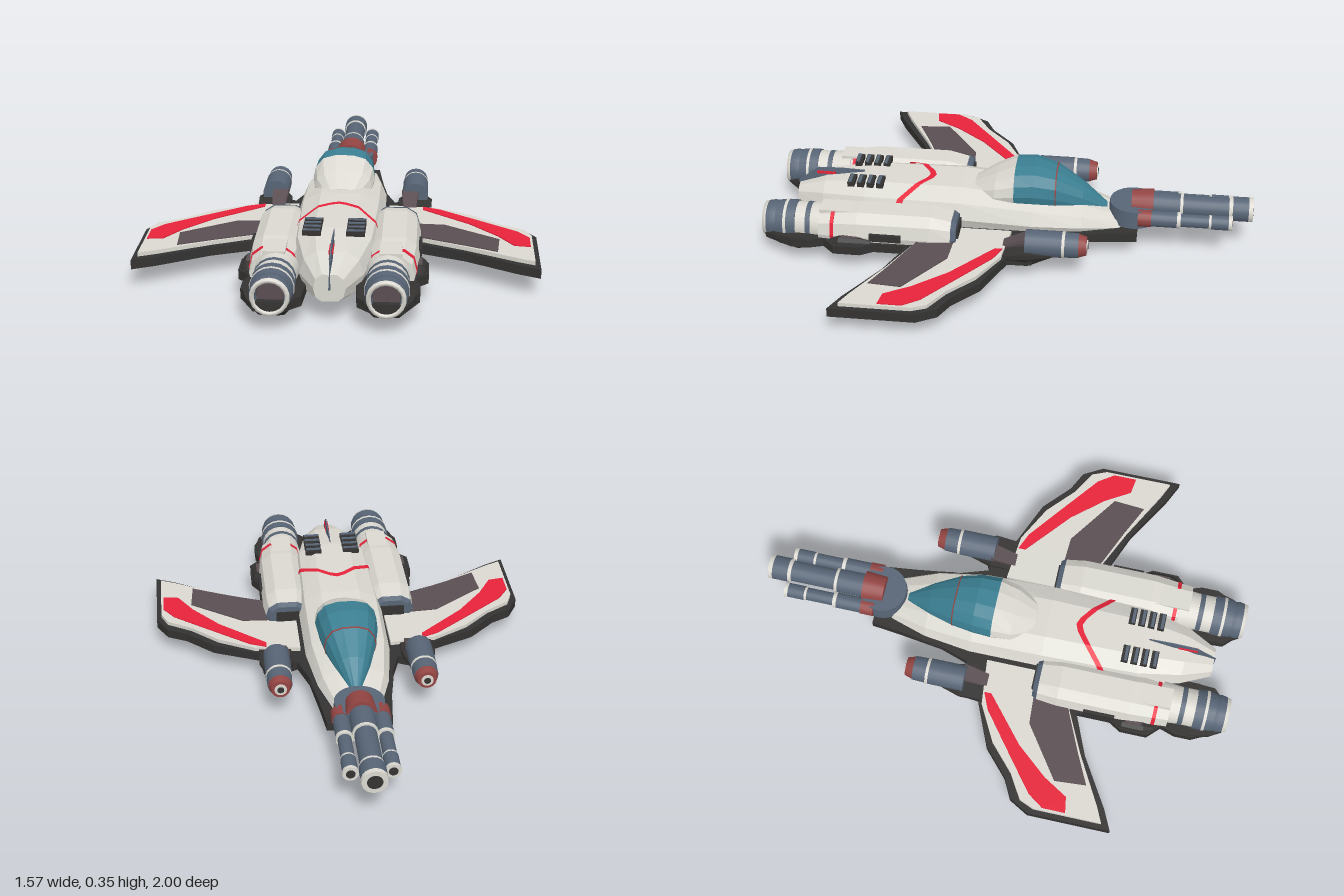
import * as THREE from 'three';

const mat = (name, color, double) => {
  const m = new THREE.MeshStandardMaterial({ color });
  m.name = name;
  if (double) m.side = THREE.DoubleSide;
  return m;
};

export function createModel() {
  const white = mat('hull white', 0xdad8d0), red = mat('stripe red', 0xe8233a, true),
    teal = mat('canopy teal', 0x3b7f92), slate = mat('gunmetal slate', 0x586576),
    coal = mat('charcoal', 0x343332), plum = mat('dull plum', 0x5a4e52), maroon = mat('maroon', 0x934543);
  const root = new THREE.Group();

  const add = (name, geo, m, x = 0, y = 0, z = 0) => {
    const mesh = new THREE.Mesh(geo, m);
    mesh.name = name;
    mesh.position.set(x, y, z);
    root.add(mesh);
  };

  // Faceted hull: half ring of [width, height] fractions swept over [z, halfWidth, top, bottom]
  const loft = (half, sections) => {
    const ring = [...half, ...half.slice().reverse().map(([a, b]) => [-a, b])];
    const rows = sections.map(([z, w, t, b]) => ring.map(([fx, fy]) => [fx * w, b + fy * (t - b), z]));
    const pos = [], n = ring.length, tri = (...p) => p.forEach(v => pos.push(...v));
    for (let i = 0; i < rows.length - 1; i++) for (let j = 0; j < n; j++) {
      const k = (j + 1) % n, a = rows[i], b = rows[i + 1];
      tri(a[j], a[k], b[k]);
      tri(a[j], b[k], b[j]);
    }
    const first = rows[0], last = rows[rows.length - 1];
    for (let j = 1; j < n - 1; j++) {
      tri(first[0], first[j + 1], first[j]);
      tri(last[0], last[j], last[j + 1]);
    }
    const g = new THREE.BufferGeometry();
    g.setAttribute('position', new THREE.Float32BufferAttribute(pos, 3));
    g.computeVertexNormals();
    return g;
  };

  // Flat plate outlined in x, z between two heights
  const plate = (pts, y0, y1) => {
    const g = new THREE.ExtrudeGeometry(new THREE.Shape(pts.map(([x, z]) => new THREE.Vector2(x, -z))),
      { depth: y1 - y0, bevelEnabled: false });
    return g.rotateX(-Math.PI / 2).translate(0, y0, 0);
  };
  const flip = (pts, s) => pts.map(([x, z]) => [x * s, z]);

  // Stack of round segments along z: [material, z0, r0, z1, r1]
  const tube = (name, x, y, segs) => segs.forEach(([m, z0, r0, z1, r1]) =>
    add(name, new THREE.CylinderGeometry(r1, r0, z1 - z0, 18).rotateX(Math.PI / 2), m, x, y, (z0 + z1) / 2));

  // Thin painted ribbon along a path, dz wide
  const ribbon = (pts, dz) => {
    const pos = [];
    for (let i = 0; i < pts.length - 1; i++) {
      const [a, b] = [pts[i], pts[i + 1]];
      const c = [b[0], b[1], b[2] + dz], d = [a[0], a[1], a[2] + dz];
      pos.push(...a, ...c, ...b, ...a, ...d, ...c);
    }
    const g = new THREE.BufferGeometry();
    g.setAttribute('position', new THREE.Float32BufferAttribute(pos, 3));
    g.computeVertexNormals();
    return g;
  };

  const hullRing = [[0.5, 0], [0.85, 0.15], [1, 0.5], [0.86, 0.82], [0.46, 1]];
  const domeRing = [[0.9, 0], [1, 0.35], [0.92, 0.65], [0.68, 0.9], [0.28, 1]];
  const keelRing = [[0.5, 0], [1, 0.7], [1, 1]];

  // Fuselage
  add('fuselage', loft(hullRing, [[-0.46, 0.09, 0.15, 0.08], [-0.3, 0.145, 0.2, 0.07], [-0.1, 0.175, 0.235, 0.06],
    [0.2, 0.178, 0.26, 0.06], [0.6, 0.165, 0.26, 0.05], [0.78, 0.12, 0.235, 0.055], [0.9, 0.06, 0.19, 0.085]]), white);

  // Canopy
  add('canopyGlass', loft(domeRing, [[-0.4, 0.02, 0.18, 0.13], [-0.3, 0.065, 0.262, 0.16], [-0.19, 0.105, 0.33, 0.19],
    [-0.1, 0.123, 0.355, 0.2], [-0.02, 0.128, 0.348, 0.2]]), teal);
  add('canopyFrame', loft(domeRing, [[-0.192, 0.106, 0.331, 0.19], [-0.187, 0.108, 0.333, 0.19]]), maroon);
  add('canopyRear', loft(domeRing, [[-0.02, 0.129, 0.349, 0.2], [0.06, 0.118, 0.31, 0.2], [0.15, 0.07, 0.258, 0.2]]), white);

  // Belly
  add('lowerHull', loft(keelRing, [[-0.52, 0.12, 0.12, 0.08], [-0.25, 0.17, 0.11, 0.045], [0.05, 0.19, 0.1, 0.02],
    [0.5, 0.16, 0.1, 0.035], [0.68, 0.1, 0.1, 0.06]]), coal);
  add('keel', loft(keelRing, [[-0.46, 0.05, 0.1, 0.06], [-0.25, 0.12, 0.1, 0.03], [0, 0.15, 0.1, 0],
    [0.45, 0.15, 0.1, 0.014], [0.64, 0.07, 0.1, 0.045]]), slate);

  // Tail fin
  add('tailFin', loft([[1, 0], [0.2, 1]], [[0.62, 0.004, 0.265, 0.22], [0.72, 0.014, 0.268, 0.2],
    [0.82, 0.012, 0.265, 0.18], [0.905, 0.004, 0.2, 0.13]]), slate);
  add('tailFinMark', new THREE.BoxGeometry(0.016, 0.012, 0.08), red, 0, 0.245, 0.785);

  const base = [[0, -0.53], [0.13, -0.53], [0.145, -0.4], [0.17, -0.22], [0.21, -0.1], [0.25, -0.12], [0.35, -0.12],
    [0.36, -0.02], [0.55, 0.06], [0.66, 0.16], [0.74, 0.2], [0.785, 0.28], [0.785, 0.62], [0.7, 0.58], [0.5, 0.46],
    [0.33, 0.39], [0.33, 0.53], [0.36, 0.58], [0.36, 0.69], [0.31, 0.74], [0.33, 0.8], [0.33, 0.87], [0.27, 0.99],
    [0.16, 0.99], [0.1, 0.93], [0.09, 0.76], [0, 0.7]];
  const wingSkin = [[0.19, -0.02], [0.38, 0], [0.53, 0.08], [0.64, 0.18], [0.74, 0.24], [0.765, 0.3], [0.765, 0.58],
    [0.7, 0.55], [0.5, 0.44], [0.33, 0.36], [0.19, 0.34]];
  const wingStripe = [[0.33, 0], [0.4, 0.03], [0.53, 0.13], [0.71, 0.27], [0.755, 0.335], [0.755, 0.43], [0.69, 0.42],
    [0.63, 0.32], [0.52, 0.19], [0.33, 0.03]];
  const wingFlap = [[0.25, 0.2], [0.42, 0.21], [0.635, 0.36], [0.625, 0.49], [0.5, 0.43], [0.34, 0.36], [0.25, 0.33]];

  for (const s of [1, -1]) {
    // Wings and dark under-frame
    add('underFrame', plate(flip(base, s), 0.078, 0.116), coal);
    add('wingSkin', plate(flip(wingSkin, s), 0.112, 0.132), white);
    add('wingStripe', plate(flip(wingStripe, s), 0.13, 0.136), red);
    add('wingFlap', plate(flip(wingFlap, s), 0.13, 0.136), plum);
    const under = flip(wingSkin, s).map(([x, z]) => [0.42 * s + (x - 0.42 * s) * 0.88, 0.26 + (z - 0.26) * 0.85]);
    add('wingUnderside', plate(under, 0.074, 0.08), white);
    add('wingUndersideStripe', plate(flip(wingStripe, s).map(([x, z]) => [x * 0.96, z + 0.03]), 0.071, 0.076), red);
    add('wingUndersideFlap', plate(flip(wingFlap, s), 0.07, 0.076), plum);
    add('noseUnderPanel', plate(flip([[0.19, -0.03], [0.34, -0.08], [0.34, 0], [0.22, 0.04]], s), 0.073, 0.079), plum);

    // Engine nacelles with intakes
    const nx = 0.225 * s;
    add('nacelle', loft(hullRing, [[0.21, 0.09, 0.205, 0.08], [0.3, 0.1, 0.225, 0.06], [0.6, 0.1, 0.225, 0.05],
      [0.76, 0.085, 0.205, 0.06]]), white, nx);
    add('intakeLip', loft(hullRing, [[0.195, 0.08, 0.198, 0.09], [0.215, 0.094, 0.21, 0.08]]), slate, nx);
    add('intakeMouth', new THREE.BoxGeometry(0.1, 0.06, 0.01), coal, nx, 0.145, 0.193);
    add('nacelleStripe', loft(hullRing, [[0.695, 0.093, 0.217, 0.06], [0.71, 0.0925, 0.216, 0.06]]), red, nx);
    add('nacelleCover', new THREE.BoxGeometry(0.085, 0.03, 0.2), white, 0.218 * s, 0.206, 0.66);
    add('sideVent', new THREE.BoxGeometry(0.03, 0.03, 0.13), coal, 0.318 * s, 0.145, 0.48);
    add('sideBlister', loft(hullRing, [[0.54, 0.02, 0.125, 0.09], [0.58, 0.04, 0.14, 0.07],
      [0.67, 0.04, 0.14, 0.07], [0.71, 0.02, 0.12, 0.09]]), coal, 0.315 * s);
    add('blisterPanel', new THREE.BoxGeometry(0.03, 0.008, 0.07), plum, 0.32 * s, 0.139, 0.625);

    // Engines
    const ex = 0.21 * s;
    tube('engine', ex, 0.135, [[white, 0.72, 0.085, 0.8, 0.078], [slate, 0.8, 0.08, 0.82, 0.08],
      [white, 0.82, 0.078, 0.862, 0.078], [slate, 0.862, 0.083, 0.9, 0.083],
      [white, 0.9, 0.084, 0.912, 0.084], [slate, 0.912, 0.082, 0.945, 0.078]]);
    const lathe = pts => new THREE.LatheGeometry(pts.map(p => new THREE.Vector2(...p)), 18).rotateX(Math.PI / 2);
    add('engineNozzle', lathe([[0.075, 0.945], [0.078, 0.965], [0.074, 0.985]]), slate, ex, 0.135);
    add('nozzleLip', lathe([[0.074, 0.985], [0.07, 1], [0.059, 1], [0.056, 0.985]]), white, ex, 0.135);
    add('nozzleLining', lathe([[0.056, 0.985], [0.05, 0.945]]), slate, ex, 0.135);
    tube('exhaust', ex, 0.135, [[plum, 0.94, 0.054, 0.965, 0.05]]);
    add('engineCradle', loft(keelRing, [[0.74, 0.1, 0.115, 0.05], [0.86, 0.115, 0.12, 0.03],
      [0.94, 0.095, 0.115, 0.045], [0.99, 0.065, 0.105, 0.065]]), coal, ex);

    // Forward side cannons
    const px = 0.296 * s;
    tube('sideCannon', px, 0.152, [[maroon, -0.337, 0.038, -0.305, 0.048], [slate, -0.305, 0.05, -0.25, 0.052],
      [white, -0.25, 0.054, -0.238, 0.054], [slate, -0.238, 0.054, -0.09, 0.054]]);
    tube('cannonMuzzle', px, 0.152, [[white, -0.341, 0.025, -0.33, 0.025], [coal, -0.343, 0.014, -0.335, 0.014]]);
    add('cannonCradle', loft(keelRing, [[-0.2, 0.04, 0.12, 0.1], [-0.1, 0.07, 0.135, 0.06], [0.02, 0.065, 0.12, 0.065]]), coal, px);
    add('cannonMount', loft(keelRing, [[-0.1, 0.035, 0.175, 0.11], [0.02, 0.025, 0.125, 0.1]]), plum, 0.275 * s);

    // Back vents
    for (let i = 0; i < 4; i++) {
      const z = 0.537 + i * 0.04;
      add('ventSlat', new THREE.BoxGeometry(0.07, 0.02, 0.028), coal, 0.083 * s, 0.262, z);
      add('ventBlade', new THREE.BoxGeometry(0.064, 0.008, 0.012), slate, 0.083 * s, 0.272, z + 0.004);
    }

    // Chevron on the back
    add('chevron', ribbon([[0, 0.264, 0.315], [0.03 * s, 0.264, 0.327], [0.08 * s, 0.264, 0.365],
      [0.15 * s, 0.227, 0.43], [0.174 * s, 0.165, 0.455]], 0.026), red);

    // Outer nose barrels
    tube('outerBarrel', 0.08 * s, 0.165, [[maroon, -0.585, 0.036, -0.53, 0.036], [slate, -0.69, 0.033, -0.585, 0.033],
      [white, -0.705, 0.034, -0.69, 0.034], [slate, -0.82, 0.027, -0.705, 0.027], [white, -0.83, 0.029, -0.82, 0.029],
      [slate, -0.9, 0.03, -0.83, 0.03], [white, -0.915, 0.031, -0.9, 0.031], [coal, -0.917, 0.018, -0.914, 0.018]]);
  }

  // Nose turret and main barrel
  add('turretHub', new THREE.CylinderGeometry(0.1, 0.105, 0.075, 24), slate, 0, 0.162, -0.51);
  tube('mainBarrel', 0, 0.187, [[maroon, -0.59, 0.064, -0.5, 0.056], [slate, -0.7, 0.05, -0.59, 0.05],
    [white, -0.712, 0.051, -0.7, 0.051], [slate, -0.9, 0.044, -0.712, 0.044], [white, -0.915, 0.048, -0.9, 0.048],
    [slate, -0.98, 0.051, -0.915, 0.051], [white, -0.998, 0.05, -0.98, 0.052], [coal, -1, 0.03, -0.997, 0.03]]);

  return root;
}
